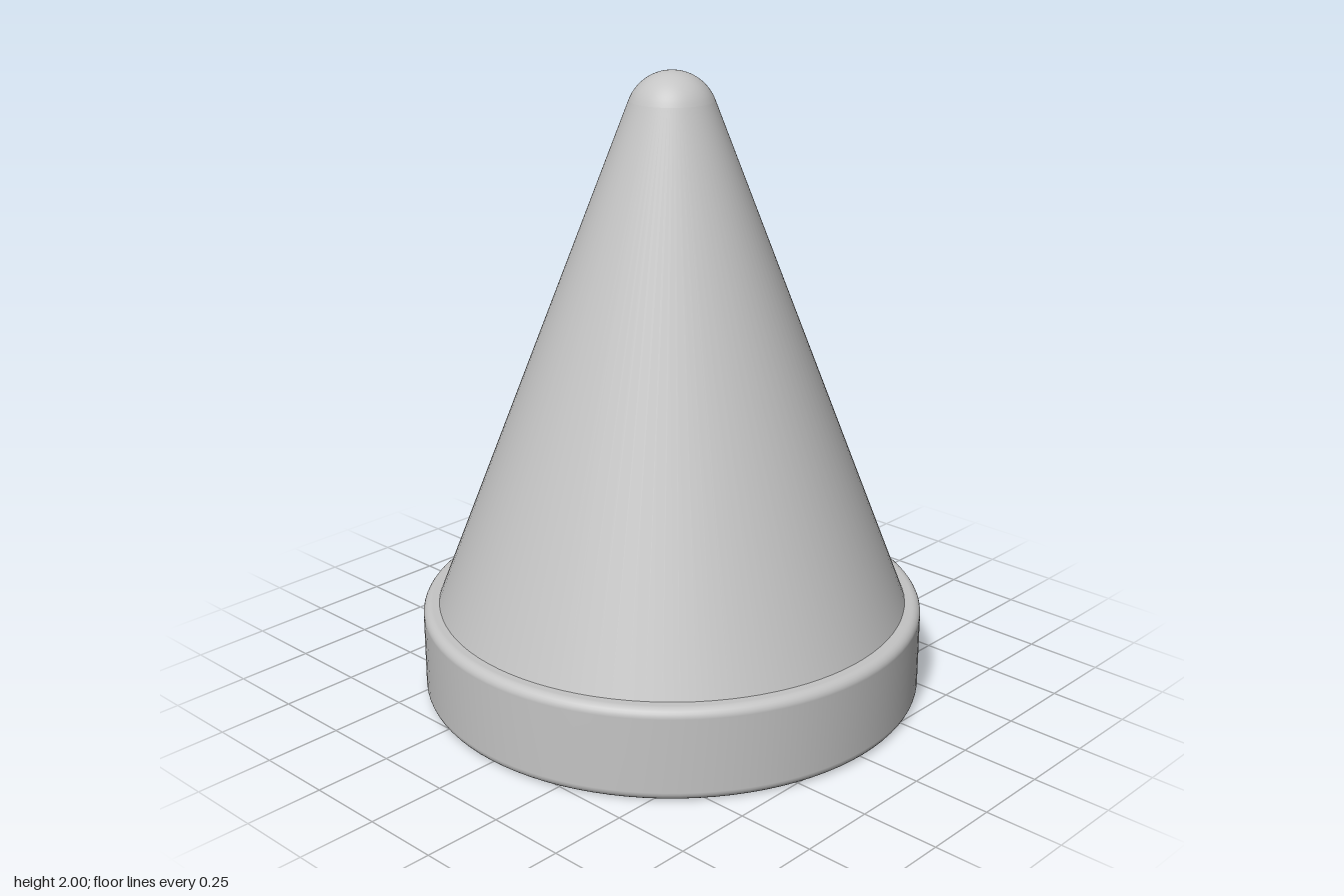
import * as THREE from 'three';

const SEGMENTS = 96;

// Appends a circular arc to a list of profile points
function arc(points, cx, cy, r, from, to, steps) {
  for (let i = 0; i <= steps; i++) {
    const a = from + (to - from) * i / steps;
    points.push(new THREE.Vector2(Math.max(0, cx + r * Math.cos(a)), cy + r * Math.sin(a)));
  }
}

export function createModel() {
  const group = new THREE.Group();
  group.name = 'roundedCone';
  const grey = new THREE.MeshStandardMaterial({ color: 0xc4c4c4 });
  grey.name = 'lightGrey';

  const add = (name, geometry) => {
    const mesh = new THREE.Mesh(geometry, grey);
    mesh.name = name;
    group.add(mesh);
  };

  // Disc base with softly rounded edges
  const R = 0.806, H = 0.3, bevel = 0.03;
  const base = [new THREE.Vector2(0, 0)];
  arc(base, R - bevel, bevel, bevel, -Math.PI / 2, 0, 6);
  arc(base, R - bevel, H - bevel, bevel, 0, Math.PI / 2, 6);
  base.push(new THREE.Vector2(0.74, H));
  add('base', new THREE.LatheGeometry(base, SEGMENTS));

  // Tapered body, sunk slightly into the base, meeting the tip at a tangent
  const tipR = 0.14, tipY = 2 - tipR, slope = Math.atan2(0.624, 1.61);
  const topR = tipR * Math.cos(slope), topY = tipY + tipR * Math.sin(slope);
  const bottomY = 0.28, bottomR = topR + (topY - bottomY) * Math.tan(slope);
  const body = new THREE.CylinderGeometry(topR, bottomR, topY - bottomY, SEGMENTS, 1, true);
  body.translate(0, (topY + bottomY) / 2, 0);
  add('coneBody', body);

  // Rounded tip
  const tip = [];
  arc(tip, 0, tipY, tipR, slope, Math.PI / 2, 14);
  add('roundedTip', new THREE.LatheGeometry(tip, SEGMENTS));

  return group;
}
